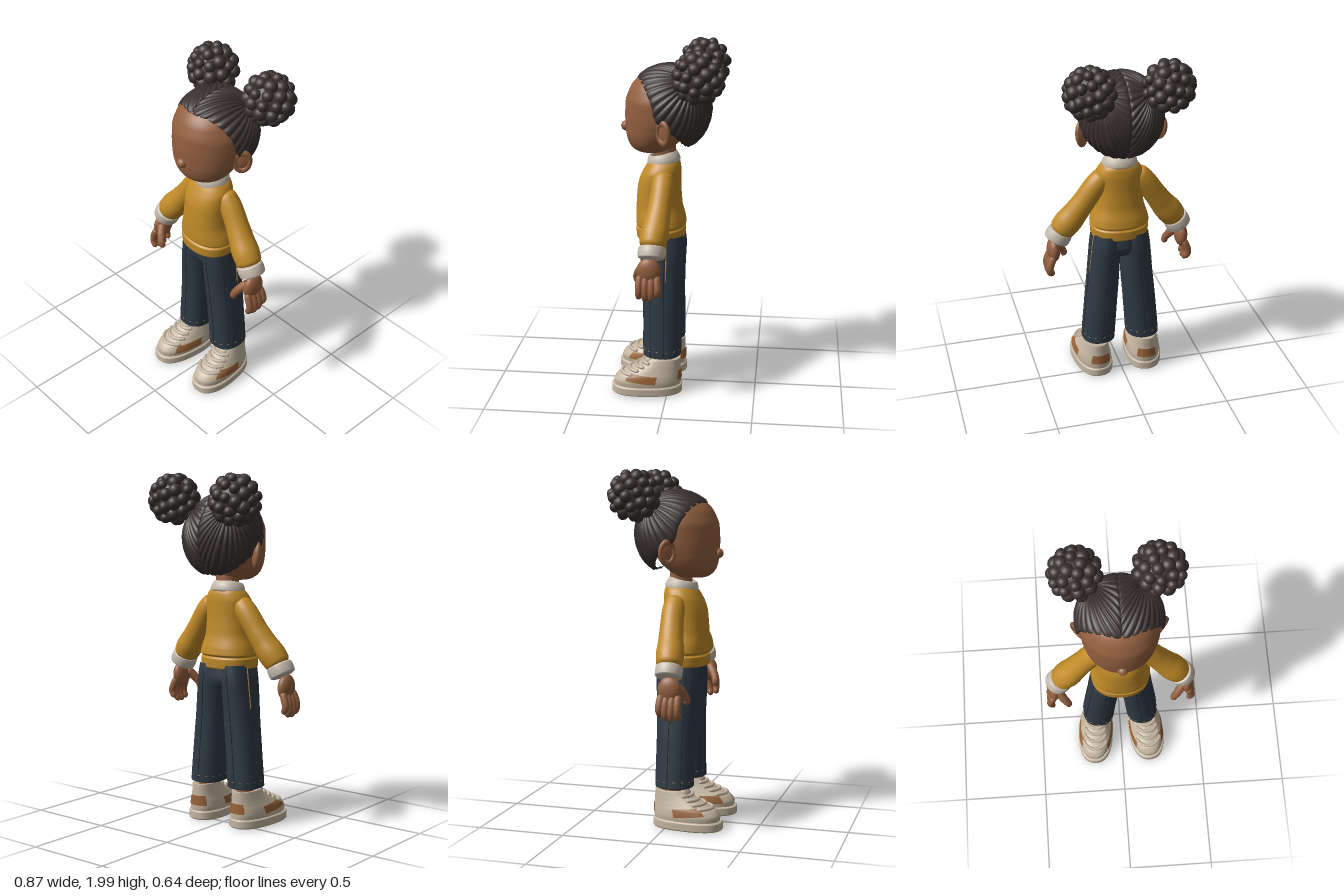
import * as THREE from 'three';
import { mergeVertices, mergeGeometries } from 'three/addons/utils/BufferGeometryUtils.js';

const V = (x, y, z) => new THREE.Vector3(x, y, z);
const mat = (name, color) => Object.assign(new THREE.MeshStandardMaterial({ color }), { name });

// Smooth interpolation of a list of numbers, without overshoot
function interp(list, t) {
  const n = list.length - 1, i = Math.min(n - 1, Math.floor(t * n)), f = t * n - i;
  const slope = k => {
    if (k <= 0 || k >= n) return 0;
    const p = list[k] - list[k - 1], q = list[k + 1] - list[k];
    return p * q > 0 ? Math.sign(p) * Math.min(Math.abs(p), Math.abs(q)) : 0;
  };
  const f2 = f * f, f3 = f2 * f;
  return (2 * f3 - 3 * f2 + 1) * list[i] + (f3 - 2 * f2 + f) * slope(i)
    + (3 * f2 - 2 * f3) * list[i + 1] + (f3 - f2) * slope(i + 1);
}

function smooth(geo) {
  geo.deleteAttribute('uv');
  geo.deleteAttribute('normal');
  const g = mergeVertices(geo, 1e-5);
  g.computeVertexNormals();
  return g;
}

// Grid of points fn(u, v), wound so that u x v faces outward
function grid(fn, nu, nv, flip = false) {
  const pos = [], idx = [];
  for (let j = 0; j <= nv; j++) for (let i = 0; i <= nu; i++) pos.push(...fn(i / nu, j / nv).toArray());
  for (let j = 0; j < nv; j++) for (let i = 0; i < nu; i++) {
    const a = j * (nu + 1) + i, b = a + 1, c = b + nu + 1, d = a + nu + 1;
    idx.push(...(flip ? [a, c, b, a, d, c] : [a, b, c, a, c, d]));
  }
  const g = new THREE.BufferGeometry();
  g.setAttribute('position', new THREE.Float32BufferAttribute(pos, 3));
  g.setIndex(idx);
  return smooth(g);
}

// Surface through horizontal rings [y, centreX, halfWidth, zFront, zBack]; angle 0 is the front
function rings(sec, p = 2) {
  const col = k => sec.map(s => s[k]);
  const [ys, xs, ws, fs, bs] = [0, 1, 2, 3, 4].map(col);
  const pw = s => Math.sign(s) * Math.pow(Math.abs(s), 2 / p);
  return (t, a, off = 0) => {
    const zf = interp(fs, t), zb = interp(bs, t);
    return V(interp(xs, t) + (interp(ws, t) + off) * pw(Math.sin(a)), interp(ys, t),
      (zf + zb) / 2 + ((zf - zb) / 2 + off) * pw(Math.cos(a)));
  };
}
const loft = (surf, nu = 40, nv = 48) => grid((u, v) => surf(v, u * Math.PI * 2), nu, nv);

// Tapered tube with rounded ends
function limb(pts, radii, cap = 0.15, n = 28, sides = 20) {
  const curve = new THREE.CatmullRomCurve3(pts.map(p => V(...p)));
  const g = new THREE.TubeGeometry(curve, n, 1, sides), P = g.attributes.position, v = V();
  for (let i = 0; i <= n; i++) {
    const t = i / n, c = curve.getPointAt(t), e = Math.min(1, Math.min(t, 1 - t) / cap);
    const r = interp(radii, t) * Math.sqrt(1 - (1 - e) ** 2);
    for (let k = 0; k <= sides; k++) {
      const q = i * (sides + 1) + k;
      v.fromBufferAttribute(P, q).sub(c).multiplyScalar(r).add(c);
      P.setXYZ(q, v.x, v.y, v.z);
    }
  }
  return smooth(g);
}

// Thin cord lying on a surface from [t, angle] to [t, angle]
function cord(surf, [t0, a0], [t1, a1], r, off = 0) {
  const pts = [];
  for (let i = 0; i <= 10; i++) pts.push(surf(t0 + (t1 - t0) * i / 10, a0 + (a1 - a0) * i / 10, off).toArray());
  return limb(pts, [r, r], 0.06, 24, 8);
}

function ball(x, y, z, rx, ry = rx, rz = rx, w = 28, h = 20) {
  return new THREE.SphereGeometry(1, w, h).scale(rx, ry, rz).translate(x, y, z);
}

export function createModel() {
  const model = new THREE.Group();
  model.name = 'girl';
  const skin = mat('skin', 0x935f3f), hair = mat('hair', 0x3a3131), knit = mat('mustardKnit', 0xc08a28);
  const denim = mat('denim', 0x2f3a45), seamMat = mat('darkSeam', 0x1f272f), trim = mat('paleTrim', 0xc6bbad);
  const leather = mat('creamLeather', 0xc4b5a0), brown = mat('brownPatch', 0x996338), thread = mat('goldThread', 0xb98a4c);

  const add = (name, geo, m) => {
    const mesh = new THREE.Mesh(geo, m);
    mesh.name = name;
    model.add(mesh);
  };
  const pair = (name, geo, m) => {
    add(name + 'Left', geo, m);
    const g = geo.clone().scale(-1, 1, 1), ix = g.index.array;
    for (let i = 0; i < ix.length; i += 3) [ix[i], ix[i + 1]] = [ix[i + 1], ix[i]];
    add(name + 'Right', g, m);
  };

  // Head, nose, ears and neck
  add('head', loft(rings([[1.395, 0, 0.001, 0.11, 0.109], [1.4, 0, 0.08, 0.175, 0.03], [1.42, 0, 0.127, 0.21, -0.01],
    [1.46, 0, 0.166, 0.235, -0.06], [1.52, 0, 0.192, 0.247, -0.11], [1.6, 0, 0.208, 0.25, -0.16],
    [1.68, 0, 0.212, 0.246, -0.18], [1.75, 0, 0.193, 0.222, -0.165], [1.81, 0, 0.153, 0.175, -0.13],
    [1.845, 0, 0.09, 0.1, -0.08], [1.86, 0, 0.001, 0.02, 0.019]]), 48, 60), skin);
  add('nose', ball(0, 1.533, 0.247, 0.028), skin);
  const ear = mergeGeometries([ball(0, 0, 0, 0.045, 0.066, 0.018),
    new THREE.TorusGeometry(0.042, 0.014, 12, 32).scale(0.95, 1.35, 1).translate(0, 0, 0.008)]);
  pair('ear', ear.rotateY(0.85).rotateZ(-0.12).translate(0.212, 1.545, 0.012), skin);
  add('neck', limb([[0, 1.28, 0.03], [0, 1.37, 0.03], [0, 1.46, 0.04]], [0.066, 0.064, 0.066], 0.05), skin);

  // Combed hair: each half fans out in strands from the root of its bun
  const centre = V(0, 1.64, 0);
  const onScalp = d => d.multiplyScalar(1 / Math.hypot(d.x / 0.232, d.y / 0.241, d.z / (d.z > 0 ? 0.253 : 0.226)));
  const edge = new THREE.CatmullRomCurve3([[0, 1.82, 0.18], [0.1, 1.812, 0.16], [0.17, 1.765, 0.12], [0.21, 1.69, 0.08],
    [0.225, 1.61, 0.06], [0.22, 1.56, 0], [0.19, 1.5, -0.06], [0.12, 1.455, -0.09], [0, 1.45, -0.12], [0, 1.55, -0.2],
    [0, 1.7, -0.22], [0, 1.83, -0.13], [0, 1.885, 0.02]].map(p => V(...p)), true);
  const root = V(0.13, 0.16, -0.12).normalize();
  const scalpHalf = grid((u, v) => {
    const d = edge.getPointAt(u % 1).sub(centre);
    d.x = Math.max(0, d.x);
    d.normalize();
    const ang = root.angleTo(d), w = Math.min(1, v * 1.04);
    const dir = root.clone().multiplyScalar(Math.sin((1 - w) * ang)).addScaledVector(d, Math.sin(w * ang));
    const strand = Math.abs(Math.sin(u * Math.PI * 30)) * Math.min(1, v * 2.5);
    const fold = v > 0.985 ? 0.93 : 1 - 0.03 * Math.max(0, (v - 0.85) / 0.15) ** 2;
    return onScalp(dir.normalize()).multiplyScalar(fold * (0.992 + 0.033 * strand)).add(centre);
  }, 240, 28, true);
  pair('combedHair', scalpHalf, hair);

  // Curly buns: a core covered with evenly spread curls
  const curls = [ball(0, 0, 0, 0.118)], count = 46;
  for (let i = 0; i < count; i++) {
    const y = 1 - 2 * (i + 0.5) / count, q = Math.sqrt(1 - y * y), a = i * 2.39996;
    const r = 0.034 + 0.005 * Math.sin(i * 7.3), k = 0.149 - r;
    curls.push(ball(q * Math.cos(a) * k, y * k, q * Math.sin(a) * k, r, r, r, 16, 12));
  }
  pair('curlyBun', mergeGeometries(curls).rotateZ(0.5).translate(0.214, 1.85, -0.172), hair);

  // Sweater body with hem, and collar
  add('sweaterBody', loft(rings([[0.915, 0, 0.12, 0.14, -0.05], [0.903, 0, 0.152, 0.178, -0.072], [0.91, 0, 0.164, 0.19, -0.084],
    [0.96, 0, 0.167, 0.192, -0.086], [0.972, 0, 0.159, 0.182, -0.078], [0.985, 0, 0.169, 0.192, -0.09],
    [1.02, 0, 0.162, 0.193, -0.085], [1.1, 0, 0.14, 0.19, -0.066], [1.2, 0, 0.134, 0.182, -0.06],
    [1.28, 0, 0.134, 0.155, -0.06], [1.325, 0, 0.115, 0.128, -0.056], [1.355, 0, 0.08, 0.105, -0.04],
    [1.36, 0, 0.01, 0.04, 0.02]], 2.25), 48, 72), knit);
  const collarShape = [[0.07, -0.03], [0.095, -0.034], [0.102, -0.022], [0.098, 0.005], [0.086, 0.028],
    [0.076, 0.034], [0.068, 0.026], [0.066, 0], [0.07, -0.03]].map(p => new THREE.Vector2(...p));
  add('collar', new THREE.LatheGeometry(collarShape, 40).scale(1, 1, 0.92).rotateX(0.22).translate(0, 1.355, 0.04), trim);

  // Sleeves and cuffs
  pair('sleeve', limb([[0.085, 1.29, 0.03], [0.15, 1.21, 0.03], [0.21, 1.12, 0.038], [0.265, 1.04, 0.05],
    [0.315, 0.975, 0.06], [0.348, 0.928, 0.065]], [0.056, 0.063, 0.064, 0.069, 0.077, 0.07], 0.08, 40, 28), knit);
  pair('cuff', limb([[0.331, 0.953, 0.065], [0.351, 0.916, 0.066], [0.371, 0.879, 0.067]], [0.072, 0.075, 0.072], 0.2, 28, 28), trim);

  // Hands
  pair('palm', ball(0.38, 0.82, 0.078, 0.037, 0.075, 0.066), skin);
  for (let i = 0; i < 4; i++) {
    const z = 0.028 + i * 0.034, drop = [0.025, 0.004, 0, 0.012][i];
    pair('finger' + (i + 1), limb([[0.385, 0.8, z * 0.9 + 0.01], [0.41, 0.735, z], [0.412, 0.69 + drop, z], [0.392, 0.652 + drop, z + 0.003]],
      [0.02, 0.021, 0.02, 0.017], 0.15, 20, 14), skin);
  }
  pair('thumb', limb([[0.365, 0.85, 0.1], [0.328, 0.795, 0.14], [0.308, 0.76, 0.153], [0.304, 0.728, 0.152]],
    [0.025, 0.025, 0.022, 0.019], 0.15, 20, 14), skin);

  // Trousers
  add('hips', loft(rings([[0.775, 0, 0.03, 0.08, -0.01], [0.8, 0, 0.1, 0.135, -0.06], [0.85, 0, 0.155, 0.155, -0.078],
    [0.93, 0, 0.152, 0.16, -0.07], [0.95, 0, 0.1, 0.1, 0]])), denim);
  const leg = rings([[0.245, 0.134, 0.05, 0.09, -0.02], [0.226, 0.134, 0.085, 0.13, -0.062], [0.232, 0.134, 0.096, 0.142, -0.073],
    [0.3, 0.129, 0.095, 0.142, -0.074], [0.4, 0.121, 0.094, 0.142, -0.073], [0.5, 0.113, 0.093, 0.143, -0.072],
    [0.62, 0.102, 0.091, 0.148, -0.073], [0.74, 0.093, 0.088, 0.156, -0.078], [0.84, 0.086, 0.085, 0.16, -0.083],
    [0.93, 0.077, 0.08, 0.158, -0.075]], 2.3);
  pair('trouserLeg', loft(leg, 40, 54), denim);
  [0, 1.05, 1.7, Math.PI].forEach((a, i) => pair('legSeam' + i, cord(leg, [0.23, a], [0.96, a], 0.0025), seamMat));
  pair('sideStitch', cord(leg, [0.72, 1.78], [0.97, 1.78], 0.0035), thread);
  const dashes = [];
  for (let i = 0; i < 14; i++) dashes.push(cord(leg, [0.29, i * 0.449], [0.29, i * 0.449 + 0.12], 0.002));
  pair('hemStitches', mergeGeometries(dashes), thread);
  pair('ankle', limb([[0.14, 0.12, 0.01], [0.137, 0.2, 0.02], [0.135, 0.26, 0.03]], [0.052, 0.052, 0.052], 0.05), skin);

  // Shoes, toes turned slightly out
  const place = g => g.rotateY(0.1).translate(0.147, 0, 0);
  const sole = rings([[0.004, 0, 0.001, 0.13, 0.12], [0.004, 0, 0.1, 0.312, -0.076], [0.012, 0, 0.108, 0.322, -0.083],
    [0.048, 0, 0.108, 0.322, -0.083], [0.056, 0, 0.1, 0.312, -0.076], [0.056, 0, 0.001, 0.13, 0.12]], 2.4);
  pair('shoeSole', place(loft(sole, 48, 30)), leather);
  const upper = rings([[0.045, 0, 0.097, 0.305, -0.073], [0.08, 0, 0.101, 0.308, -0.077], [0.112, 0, 0.096, 0.288, -0.076],
    [0.138, 0, 0.086, 0.238, -0.075], [0.163, 0, 0.077, 0.188, -0.074], [0.19, 0, 0.069, 0.142, -0.074],
    [0.215, 0, 0.062, 0.108, -0.073], [0.214, 0, 0.05, 0.094, -0.06], [0.19, 0, 0.01, 0.04, 0]], 2.3);
  pair('shoeUpper', place(loft(upper, 48, 48)), leather);
  pair('shoeTongue', place(ball(0, 0, 0, 0.042, 0.035, 0.016).rotateX(-0.7).translate(0, 0.208, 0.108)), leather);
  [0.36, 0.46, 0.56, 0.66].forEach((t, i) =>
    pair('lace' + (i + 1), place(cord(upper, [t - 0.035, -0.95], [t - 0.035, 0.95], 0.011, 0.001)), leather));
  const patch = (t0, t1, a0, a1, slant) => place(grid((u, v) =>
    upper(t0 + (t1 - t0) * v + slant * (1 - u), a0 + (a1 - a0) * u, 0.004), 12, 8));
  pair('outerPatch', patch(0.12, 0.3, 0.85, 1.75, 0.07), brown);
  pair('innerPatch', patch(0.12, 0.3, -1.75, -0.85, 0), brown);
  pair('heelPatch', patch(0.16, 0.42, 2.6, 3.68, 0), brown);

  // Oval grips under the soles
  [[0.22, 0.05, 0.055], [-0.01, 0.046, 0.04]].forEach(([z, rx, rz], i) => pair(i ? 'heelGrip' : 'toeGrip',
    place(new THREE.CylinderGeometry(1, 1, 0.006, 28).scale(rx, 1, rz).translate(0, 0.003, z)), brown));
  return model;
}
